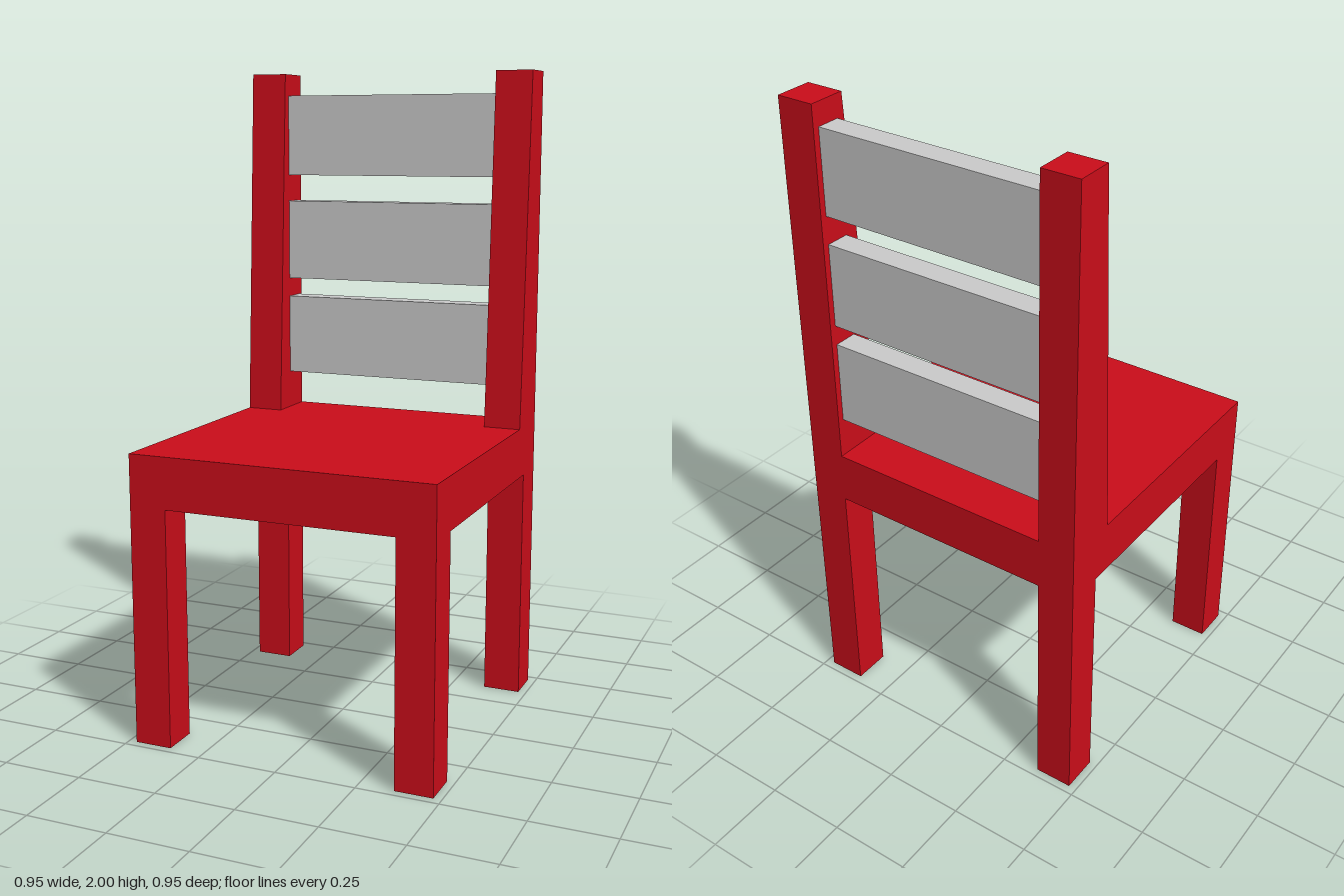
import * as THREE from 'three';

export function createModel() {
  const model = new THREE.Group();
  model.name = 'chair';
  const red = new THREE.MeshStandardMaterial({ color: 0xcc0d1a, flatShading: true });
  const grey = new THREE.MeshStandardMaterial({ color: 0xcccccc, flatShading: true });

  const half = 0.475, leg = 0.117;
  const seatBottom = 0.735, seatTop = 0.893;

  const add = (name, geometry, material, x, y, z) => {
    const mesh = new THREE.Mesh(geometry, material);
    mesh.name = name;
    mesh.position.set(x, y, z);
    model.add(mesh);
  };

  // Seat slab
  add('seat', new THREE.BoxGeometry(half * 2, seatTop - seatBottom, half * 2), red,
    0, (seatTop + seatBottom) / 2, 0);

  // Back post: vertical at the rear, its front face leaning back towards the top
  const postHeight = 2 - seatTop, baseDepth = 0.172;
  const postGeometry = new THREE.BoxGeometry(leg, postHeight, baseDepth);
  const p = postGeometry.attributes.position;
  for (let i = 0; i < p.count; i++) {
    if (p.getY(i) > 0 && p.getZ(i) > 0) p.setZ(i, leg - baseDepth / 2);
  }
  postGeometry.computeVertexNormals();

  // Legs and back posts, mirrored left and right
  const legGeometry = new THREE.BoxGeometry(leg, seatBottom, leg);
  const offset = half - leg / 2;
  for (const [side, s] of [['left', 1], ['right', -1]]) {
    add(side + 'FrontLeg', legGeometry, red, s * offset, seatBottom / 2, offset);
    add(side + 'BackLeg', legGeometry, red, s * offset, seatBottom / 2, -offset);
    add(side + 'BackPost', postGeometry, red,
      s * offset, seatTop + postHeight / 2, -half + baseDepth / 2);
  }

  // Backrest slats between the posts
  const slatGeometry = new THREE.BoxGeometry((half - leg) * 2, 0.257, 0.074);
  [1.143, 1.461, 1.803].forEach((y, i) => {
    add('backSlat' + (i + 1), slatGeometry, grey, 0, y, -0.418);
  });

  return model;
}
